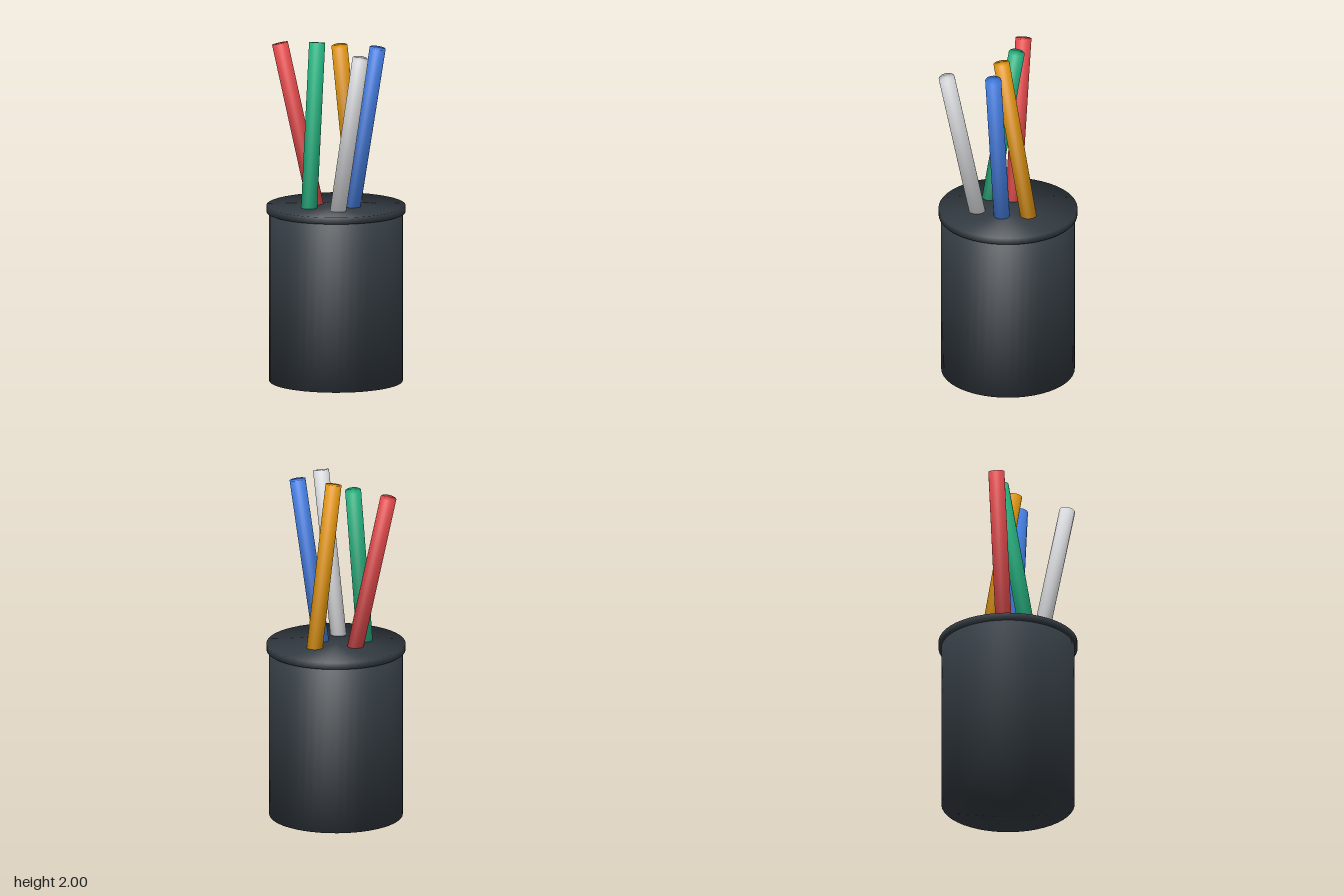
import * as THREE from 'three';

const mat = (name, color) => {
  const m = new THREE.MeshStandardMaterial({ color });
  m.name = name;
  return m;
};

// Closed cylinder whose normals are blended softly over the end rims
function softCylinder(radius, height, sides) {
  const g = new THREE.CylinderGeometry(radius, radius, height, sides);
  const p = g.attributes.position, n = g.attributes.normal;
  for (let i = 0; i < p.count; i++) {
    const x = p.getX(i) / radius, z = p.getZ(i) / radius, up = Math.sign(p.getY(i));
    if (Math.hypot(x, z) < 0.01) n.setXYZ(i, 0, up, 0);
    else n.setXYZ(i, x * 0.83, up * 0.56, z * 0.83);
  }
  return g;
}

export function createModel() {
  const group = new THREE.Group();
  group.name = 'penHolder';
  const charcoal = mat('charcoal', 0x343c43);

  // Cup body and its slightly wider lid
  const disc = (name, radius, y0, y1) => {
    const mesh = new THREE.Mesh(softCylinder(radius, y1 - y0, 48), charcoal);
    mesh.position.y = (y0 + y1) / 2;
    mesh.name = name;
    group.add(mesh);
  };
  disc('cupBody', 0.389, 0, 1.01);
  disc('cupRim', 0.405, 1.0, 1.04);

  // Leaning pens: [name, material, foot at the lid, tip centre]
  const pens = [
    ['redPen', mat('red', 0xe0484a), [-0.128, 1.04, 0.018], [-0.348, 1.975, 0.043]],
    ['greenPen', mat('green', 0x25b07f), [-0.096, 1.04, 0.151], [-0.127, 1.991, -0.004]],
    ['orangePen', mat('orange', 0xe0950f), [0.046, 1.04, -0.146], [0.037, 1.991, 0.026]],
    ['bluePen', mat('blue', 0x417bdd), [0.107, 1.04, -0.004], [0.268, 1.992, -0.015]],
    ['greyPen', mat('lightGrey', 0xd6d7da), [0.098, 1.04, 0.155], [0.304, 1.975, 0.263]],
  ];
  const up = new THREE.Vector3(0, 1, 0);
  for (const [name, material, foot, tip] of pens) {
    const b = new THREE.Vector3(...tip);
    const dir = b.clone().sub(new THREE.Vector3(...foot)).normalize();
    const length = b.distanceTo(new THREE.Vector3(...foot)) + 0.3; // continues into the cup
    const pen = new THREE.Mesh(softCylinder(0.047, length, 24), material);
    pen.position.copy(b).addScaledVector(dir, -length / 2);
    pen.quaternion.setFromUnitVectors(up, dir);
    pen.name = name;
    group.add(pen);
  }
  return group;
}
